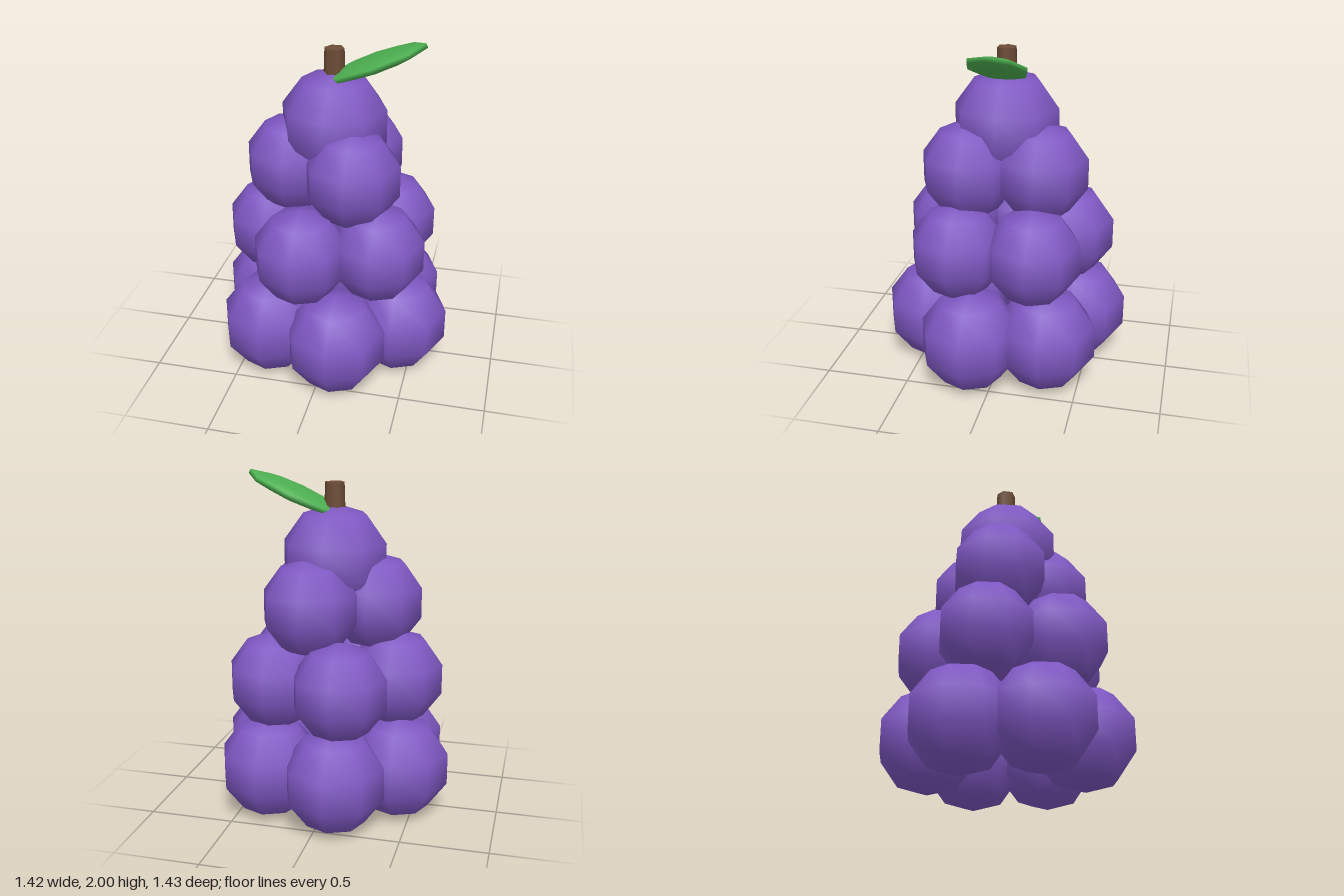
import * as THREE from 'three';

const grapeSkin = new THREE.MeshStandardMaterial({ color: 0x7e57c2 });
grapeSkin.name = 'grapePurple';
const stemBark = new THREE.MeshStandardMaterial({ color: 0x6d4c35 });
stemBark.name = 'stemBrown';
const leafSkin = new THREE.MeshStandardMaterial({ color: 0x4caf50 });
leafSkin.name = 'leafGreen';

// Tiers from the bottom up: grape count, ring radius, height, grape radius, start angle
const tiers = [
  { count: 6, ring: 0.438, y: 0.305, r: 0.305, start: 16.4 },
  { count: 5, ring: 0.372, y: 0.813, r: 0.287, start: 36 },
  { count: 3, ring: 0.238, y: 1.255, r: 0.287, start: 52.3 },
  { count: 1, ring: 0, y: 1.5, r: 0.32, start: 0 },
];

export function createModel() {
  const model = new THREE.Group();
  model.name = 'grapeBunch';

  // Low-poly, smooth-shaded berries stacked in shrinking rings
  tiers.forEach(({ count, ring, y, r, start }, t) => {
    const tier = new THREE.Group();
    tier.name = `grapeTier${t + 1}`;
    const geometry = new THREE.SphereGeometry(r, 8, 5);
    for (let i = 0; i < count; i++) {
      const a = THREE.MathUtils.degToRad(start + (360 * i) / count);
      const grape = new THREE.Mesh(geometry, grapeSkin);
      grape.name = 'grape';
      grape.position.set(Math.cos(a) * ring, y, Math.sin(a) * ring);
      tier.add(grape);
    }
    model.add(tier);
  });

  // Tapered six-sided stem
  const stem = new THREE.Mesh(new THREE.CylinderGeometry(0.057, 0.065, 0.24, 6), stemBark);
  stem.name = 'stem';
  stem.rotation.y = Math.PI / 2;
  stem.position.y = 1.82;
  model.add(stem);

  // Leaf: flattened berry shape, tilted up away from the stem
  const leaf = new THREE.Mesh(new THREE.SphereGeometry(1, 8, 5), leafSkin);
  leaf.name = 'leaf';
  leaf.scale.set(0.315, 0.042, 0.173);
  leaf.rotation.z = 0.4;
  leaf.position.set(0.232, 1.871, 0);
  model.add(leaf);

  return model;
}
